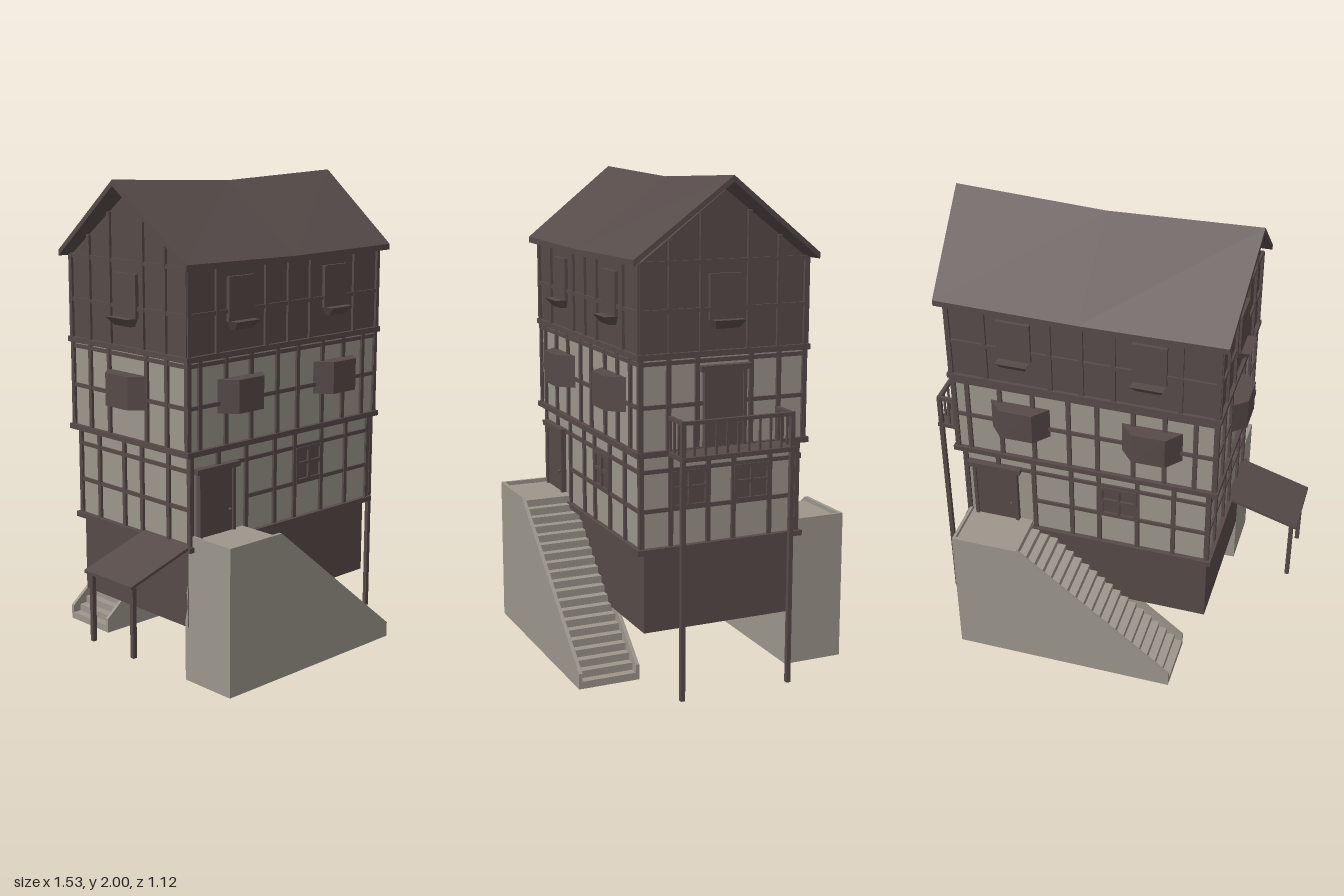
import * as THREE from 'three';

const wood = new THREE.MeshStandardMaterial({ color: 0x564b49 });
wood.name = 'darkWood';
const plaster = new THREE.MeshStandardMaterial({ color: 0x9c968c });
plaster.name = 'plaster';
const steps = new THREE.MeshStandardMaterial({ color: 0x9c968c, side: THREE.DoubleSide });
steps.name = 'stepStone';

function add(parent, name, geo, mat, x = 0, y = 0, z = 0) {
  const m = new THREE.Mesh(geo, mat);
  m.name = name;
  m.position.set(x, y, z);
  parent.add(m);
  return m;
}

// Box given by its min and max on each axis
function box(parent, name, mat, x0, x1, y0, y1, z0, z1) {
  return add(parent, name, new THREE.BoxGeometry(x1 - x0, y1 - y0, z1 - z0), mat,
    (x0 + x1) / 2, (y0 + y1) / 2, (z0 + z1) / 2);
}

// Move the vertices of a geometry by a rule and facet it again
function reshape(geo, rule) {
  const p = geo.attributes.position, v = new THREE.Vector3();
  for (let i = 0; i < p.count; i++) {
    v.fromBufferAttribute(p, i);
    rule(v);
    p.setXYZ(i, v.x, v.y, v.z);
  }
  const flat = geo.toNonIndexed();
  flat.computeVertexNormals();
  return flat;
}

function extrude(points, depth) {
  const s = new THREE.Shape(points.map(([x, y]) => new THREE.Vector2(x, y)));
  return new THREE.ExtrudeGeometry(s, { depth, bevelEnabled: false });
}

// Profile drawn as (outward, height), swept along the local x axis
function sweepX(points, width) {
  return extrude(points, width).translate(0, 0, -width / 2).rotateY(-Math.PI / 2);
}

// Wall frame: local x runs along the wall, local z points outward
function wallSide(parent, name, angle) {
  const g = new THREE.Group();
  g.name = name;
  g.rotation.y = angle;
  parent.add(g);
  return g;
}

function timbers(g, d, y0, y1, half, posts, rails, topOf = () => y1) {
  for (const u of posts) box(g, 'timberPost', wood, u - 0.009, u + 0.009, y0, topOf(u), d - 0.01, d + 0.011);
  for (const y of rails) box(g, 'timberRail', wood, -half, half, y - 0.008, y + 0.008, d - 0.01, d + 0.009);
}

function door(g, u, y0, y1, d, half) {
  box(g, 'doorLeaf', wood, u - half, u + half, y0, y1, d - 0.01, d + 0.014);
  for (const s of [-1, 1]) {
    const c = u + s * (half - 0.007);
    box(g, 'doorJamb', wood, c - 0.007, c + 0.007, y0, y1, d, d + 0.022);
  }
  box(g, 'doorLintel', wood, u - half - 0.018, u + half + 0.018, y1, y1 + 0.022, d - 0.01, d + 0.03);
  add(g, 'doorKnob', new THREE.SphereGeometry(0.007, 8, 6), wood, u + half - 0.03, y0 + 0.09, d + 0.02);
}

function smallWindow(g, u, d) {
  box(g, 'windowPane', wood, u - 0.08, u + 0.08, 0.73, 0.88, d - 0.005, d + 0.004);
  for (const o of [-0.073, 0, 0.073]) box(g, 'windowBar', wood, u + o - 0.007, u + o + 0.007, 0.73, 0.88, d, d + 0.014);
  for (const y of [0.737, 0.81, 0.873]) box(g, 'windowBar', wood, u - 0.08, u + 0.08, y - 0.007, y + 0.007, d, d + 0.013);
}

// Middle-storey bay with splayed sides
function splayedBay(g, u, d) {
  const geo = reshape(new THREE.BoxGeometry(0.25, 0.135, 0.065), (v) => { if (v.z > 0) v.x *= 0.55; });
  add(g, 'splayedBay', geo, wood, u, 1.168, d + 0.0325);
}

// Upper-storey box window with sloping cap and narrow foot
function boxWindow(g, u, d) {
  add(g, 'boxWindow', sweepX([[-0.01, 1.46], [0.055, 1.46], [0.055, 1.605], [0.012, 1.635], [-0.01, 1.635]], 0.14)
    .applyMatrix4(new THREE.Matrix4().makeRotationY(Math.PI)), wood, u, 0, d);
  add(g, 'boxWindowFoot', reshape(new THREE.BoxGeometry(0.13, 0.034, 0.06), (v) => {
    if (v.y < 0) { v.x *= 0.75; if (v.z > 0) v.z -= 0.03; }
  }), wood, u, 1.444, d + 0.02);
}

// Hollow stair block with walled flight, descending toward +x
function stair(parent, name) {
  const g = new THREE.Group();
  g.name = name;
  const x0 = -0.525, xs = -0.24, x1 = 0.43, yb = 0.012, top = 0.625, low = 0.075;
  const side = [[x0, yb], [x1, yb], [x1, low], [xs, top], [x0, top]];
  for (const z of [0.305, 0.546]) add(g, 'stairWall', extrude(side, 0.015), plaster, 0, 0, z);
  box(g, 'stairEnd', plaster, x0, x0 + 0.012, yb, top, 0.31, 0.555);
  box(g, 'stairFoot', plaster, x1 - 0.012, x1, yb, 0.042, 0.31, 0.555);
  box(g, 'landing', plaster, x0 + 0.01, xs, 0.595, 0.608, 0.31, 0.555);
  const n = 19, run = (x1 - xs) / n, rise = (0.608 - 0.042) / n;
  for (let i = 0; i < n; i++) {
    const y = 0.608 - (i + 1) * rise;
    const x = xs + i * run;
    add(g, 'tread', new THREE.PlaneGeometry(run, 0.24).rotateX(-Math.PI / 2), steps, x + run / 2, y, 0.433);
    add(g, 'riser', new THREE.PlaneGeometry(0.24, rise).rotateY(Math.PI / 2), steps, x, y + rise / 2, 0.433);
  }
  parent.add(g);
  return g;
}

function balcony(g) {
  const b = new THREE.Group();
  b.name = 'balcony';
  g.add(b);
  box(b, 'balconyFloor', wood, -0.24, 0.24, 0.95, 0.968, 0.545, 0.69);
  for (const s of [-1, 1]) {
    const u = s * 0.231;
    box(b, 'balconyPost', wood, u - 0.009, u + 0.009, 0.005, 1.105, 0.667, 0.685);
    box(b, 'sideRail', wood, u - 0.008, u + 0.008, 1.09, 1.104, 0.55, 0.685);
    for (const w of [0.565, 0.6, 0.638]) box(b, 'baluster', wood, u - 0.004, u + 0.004, 0.96, 1.095, w - 0.004, w + 0.004);
  }
  box(b, 'frontRail', wood, -0.24, 0.24, 1.09, 1.104, 0.668, 0.685);
  for (let i = -4; i <= 4; i++) box(b, 'baluster', wood, i * 0.046 - 0.004, i * 0.046 + 0.004, 0.96, 1.095, 0.672, 0.68);
}

export function createModel() {
  const model = new THREE.Group();
  model.name = 'timberHouse';
  const house = new THREE.Group();
  house.name = 'house';
  house.position.x = 0.07;
  model.add(house);

  // Storeys, each jettied past the one below
  box(house, 'basement', wood, -0.525, 0.525, 0.24, 0.57, -0.325, 0.325);
  box(house, 'lowerStorey', plaster, -0.525, 0.525, 0.565, 0.96, -0.337, 0.337);
  box(house, 'middleStorey', plaster, -0.548, 0.548, 0.955, 1.335, -0.349, 0.349);
  const gable = [[-0.352, 1.33], [0.352, 1.33], [0.352, 1.68], [0, 1.945], [-0.352, 1.68]];
  add(house, 'upperStorey', sweepX(gable, 1.104), wood);
  for (const [y, hx, hz] of [[0.572, 0.547, 0.358], [0.96, 0.566, 0.368], [1.332, 0.567, 0.367]])
    box(house, 'storeyBeam', wood, -hx, hx, y - 0.011, y + 0.011, -hz, hz);

  // Long walls, the rear being the front turned half round
  for (const [name, angle] of [['frontWall', 0], ['backWall', Math.PI]]) {
    const g = wallSide(house, name, angle);
    timbers(g, 0.337, 0.57, 0.95, 0.53, [-0.525, -0.38, -0.225, -0.06, 0.06, 0.225, 0.38, 0.525], [0.885]);
    box(g, 'timberRail', wood, -0.225, 0.53, 0.722, 0.738, 0.327, 0.346);
    timbers(g, 0.349, 0.96, 1.33, 0.553,
      [-0.548, -0.49, -0.35, -0.21, -0.06, 0.06, 0.21, 0.34, 0.465, 0.548], [1.14, 1.305]);
    timbers(g, 0.352, 1.33, 1.68, 0.55, [-0.55, -0.4, -0.13, 0, 0.13, 0.4, 0.55], [1.5]);
    door(g, -0.395, 0.61, 0.872, 0.337, 0.098);
    smallWindow(g, 0.145, 0.337);
    for (const u of [-0.265, 0.287]) splayedBay(g, u, 0.349);
    for (const u of [-0.275, 0.275]) boxWindow(g, u, 0.357);
  }

  // Gable walls
  for (const [name, s] of [['leftWall', 1], ['rightWall', -1]]) {
    const g = wallSide(house, name, s * Math.PI / 2);
    timbers(g, 0.525, 0.57, 0.95, 0.34, [-0.337, -0.215, -0.055, 0.055, 0.215, 0.337], [0.73, 0.885]);
    timbers(g, 0.548, 0.96, 1.33, 0.353, [-0.349, -0.235, -0.115, 0.115, 0.235, 0.349], [1.14, 1.305]);
    timbers(g, 0.552, 1.33, 1.68, 0.352, [-0.348, -0.23, -0.1, 0.1, 0.23, 0.348], [1.5, 1.68],
      (u) => 1.68 + (0.352 - Math.abs(u)) * 0.75);
    boxWindow(g, 0, 0.558);
    if (s > 0) {
      door(g, 0, 0.965, 1.265, 0.548, 0.09);
      for (const u of [-0.135, 0.135]) smallWindow(g, u, 0.525);
      balcony(g);
    } else splayedBay(g, 0, 0.548);
  }

  // Roof bent to a sagging ridge, with the ridge longer than the eaves
  add(house, 'roof', reshape(new THREE.BoxGeometry(1.24, 0.024, 0.78, 2, 1, 2), (v) => {
    const up = 1 - Math.abs(v.z) / 0.39;
    const sag = Math.abs(v.x) < 0.01 ? 0.008 + 0.017 * up : 0;
    v.x *= 0.948 + 0.052 * up;
    v.y += 1.688 + 0.3 * up - sag;
  }), wood);

  // Two flights, opposite each other
  stair(house, 'frontStair');
  stair(house, 'backStair').rotation.y = Math.PI;

  // Lean-to shelter
  const shelter = new THREE.Group();
  shelter.name = 'shelter';
  model.add(shelter);
  add(shelter, 'shelterRoof', extrude([[-0.77, 0.48], [-0.455, 0.578], [-0.455, 0.59], [-0.77, 0.492]], 0.285),
    wood, 0, 0, 0.06);
  for (const z of [0.08, 0.325]) box(shelter, 'shelterPost', wood, -0.753, -0.735, 0.195, 0.488, z - 0.009, z + 0.009);
  return model;
}
